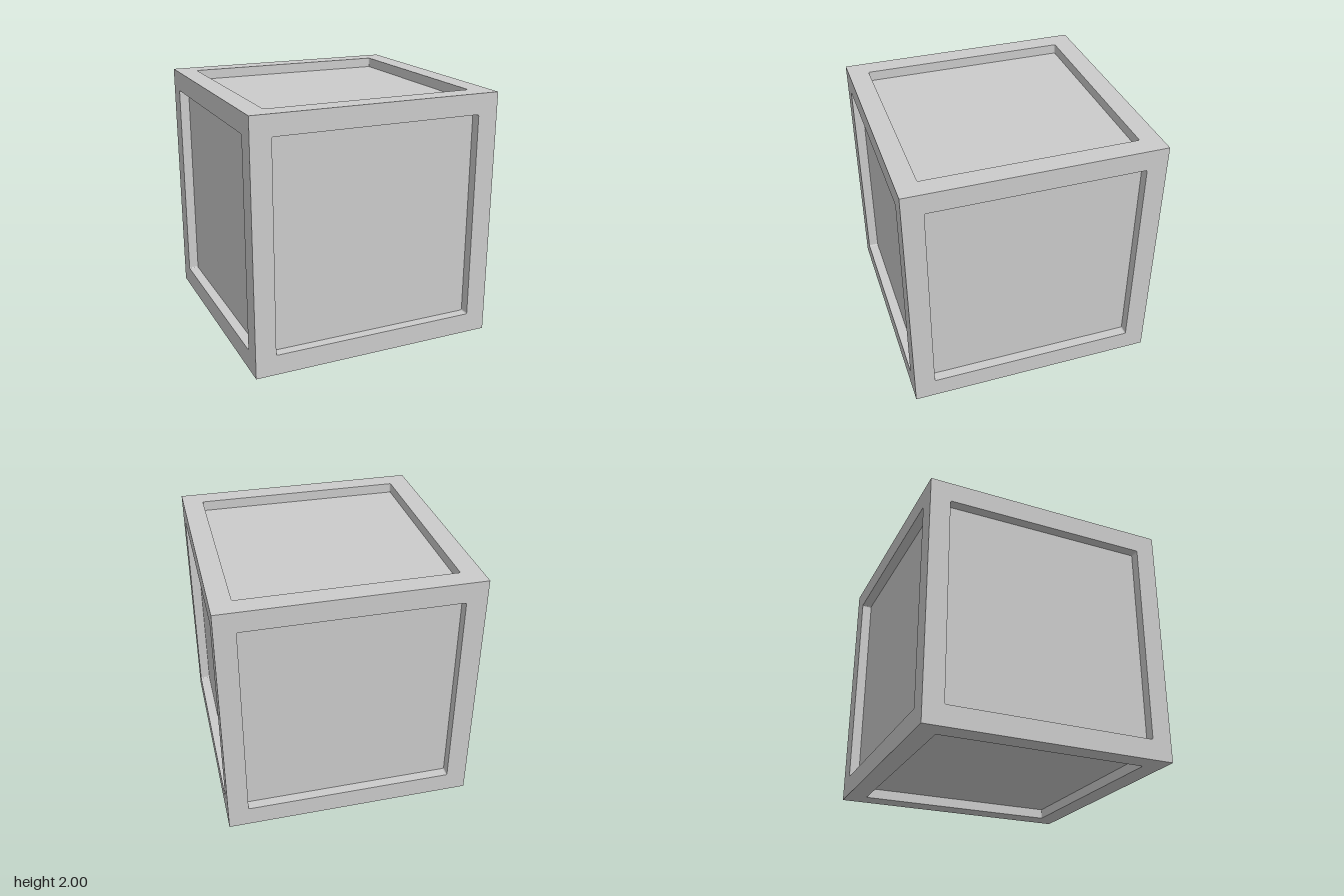
import * as THREE from 'three';

const HALF = 1;         // half the cube's side
const OPENING = 0.837;  // half the recess opening
const DEPTH = 0.08;     // recess depth
const RADIUS = 0.012;   // tiny rounding of the opening's corners
const STEPS = 4;

// Counter-clockwise outline of a rounded square
function roundedSquare(half, r) {
  const points = [];
  for (let corner = 0; corner < 4; corner++) {
    const mid = Math.PI / 4 + corner * Math.PI / 2;
    const cx = Math.sign(Math.cos(mid)) * (half - r);
    const cy = Math.sign(Math.sin(mid)) * (half - r);
    for (let i = 0; i <= STEPS; i++) {
      const a = (corner + i / STEPS) * Math.PI / 2;
      points.push(new THREE.Vector2(cx + r * Math.cos(a), cy + r * Math.sin(a)));
    }
  }
  return points;
}

// Strip following the outline, facing inward, from the cube's face to the recess floor
function recessWalls(outline) {
  const n = outline.length;
  const strip = new THREE.PlaneGeometry(1, 1, n, 1);
  const pos = strip.attributes.position;
  for (let i = 0; i < pos.count; i++) {
    const p = outline[(n - (i % (n + 1))) % n];
    pos.setXYZ(i, p.x, p.y, i <= n ? HALF : HALF - DEPTH);
  }
  const geometry = strip.toNonIndexed();
  geometry.computeVertexNormals();
  return geometry;
}

export function createModel() {
  const model = new THREE.Group();
  model.name = 'panelledCube';
  const material = new THREE.MeshStandardMaterial({ color: 0xcccccc, flatShading: true });
  const outline = roundedSquare(OPENING, RADIUS);

  // Square frame with the opening cut out
  const frameShape = new THREE.Shape([[-1, -1], [1, -1], [1, 1], [-1, 1]]
    .map(([x, y]) => new THREE.Vector2(x * HALF, y * HALF)));
  frameShape.holes.push(new THREE.Path(outline));

  const parts = {
    frame: new THREE.ShapeGeometry(frameShape).translate(0, 0, HALF),
    recessWalls: recessWalls(outline),
    panel: new THREE.ShapeGeometry(new THREE.Shape(outline)).translate(0, 0, HALF - DEPTH),
  };

  // The same recessed side on all six faces
  const q = Math.PI / 2;
  const sides = {
    front: [0, 0], left: [0, q], back: [0, 2 * q], right: [0, -q], top: [-q, 0], bottom: [q, 0],
  };
  for (const [name, [rx, ry]] of Object.entries(sides)) {
    const side = new THREE.Group();
    side.name = name + 'Side';
    for (const [part, geometry] of Object.entries(parts)) {
      const mesh = new THREE.Mesh(geometry, material);
      mesh.name = part;
      side.add(mesh);
    }
    side.rotation.set(rx, ry, 0);
    side.position.y = HALF;
    model.add(side);
  }
  return model;
}
